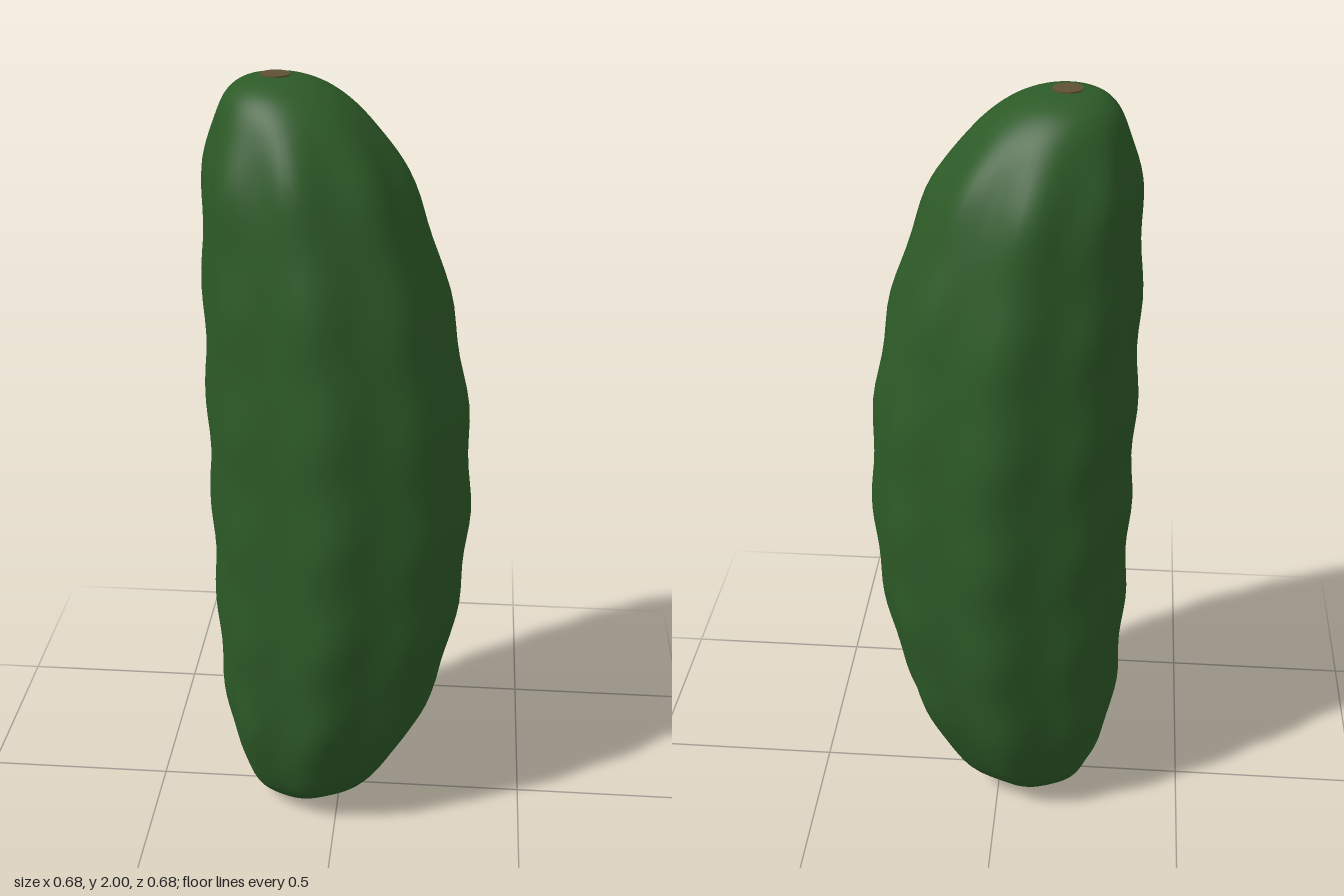
import * as THREE from 'three';

// Cross-sections from bottom to top: height, centre x, ridge radius
const STATIONS = [
  [0.004, -0.10, 0.03], [0.012, -0.10, 0.075], [0.04, -0.09, 0.14], [0.13, -0.065, 0.217],
  [0.35, -0.03, 0.288], [0.63, -0.007, 0.323], [0.9, 0, 0.334], [1.2, -0.01, 0.327],
  [1.5, -0.038, 0.298], [1.76, -0.08, 0.248], [1.9, -0.113, 0.183], [1.96, -0.135, 0.13],
  [1.988, -0.147, 0.08], [1.997, -0.15, 0.03],
];
const ROWS = 90, SIDES = 64;

// Curved body with eight soft ridges and rows of shallow bumps
function bodyGeometry() {
  const spine = new THREE.CatmullRomCurve3(
    STATIONS.map(([y, x, r]) => new THREE.Vector3(x, y, r)), false, 'centripetal');
  const pos = [], index = [];
  for (let i = 0; i <= ROWS; i++) {
    const { x: cx, y, z: radius } = spine.getPoint(i / ROWS);
    const fade = THREE.MathUtils.smoothstep(radius, 0.1, 0.25);
    for (let j = 0; j < SIDES; j++) {
      const a = (j / SIDES) * Math.PI * 2;
      const ridge = 0.5 + 0.5 * Math.cos(8 * a);
      const stagger = 0.5 * Math.sin(a * 3 + 0.6);
      const bump = Math.cos((y - 0.9) * Math.PI * 2 / 0.295 + stagger);
      const r = radius * (1 - fade * 0.06 * (1 - ridge)) + fade * ridge * 0.005 * bump;
      pos.push(cx + r * Math.cos(a), y, r * Math.sin(a));
    }
  }
  for (let i = 0; i < ROWS; i++) {
    for (let j = 0; j < SIDES; j++) {
      const a = i * SIDES + j, b = i * SIDES + (j + 1) % SIDES;
      index.push(a, a + SIDES, b, b, a + SIDES, b + SIDES);
    }
  }
  const geo = new THREE.BufferGeometry();
  geo.setAttribute('position', new THREE.Float32BufferAttribute(pos, 3));
  geo.setIndex(index);
  geo.computeVertexNormals();
  return geo;
}

export function createModel() {
  const skin = new THREE.MeshStandardMaterial({ color: 0x2d5a27 });
  skin.name = 'green skin';
  const scar = new THREE.MeshStandardMaterial({ color: 0x5d5233 });
  scar.name = 'brown scar';

  const group = new THREE.Group();
  group.name = 'cucumber';
  const body = new THREE.Mesh(bodyGeometry(), skin);
  body.name = 'body';
  group.add(body);

  // Small round scars closing both ends
  for (const [name, x, y] of [['stemScar', -0.15, 1.996], ['blossomScar', -0.10, 0.004]]) {
    const disc = new THREE.Mesh(new THREE.CylinderGeometry(0.035, 0.035, 0.008, 32), scar);
    disc.name = name;
    disc.position.set(x, y, 0);
    group.add(disc);
  }
  return group;
}
